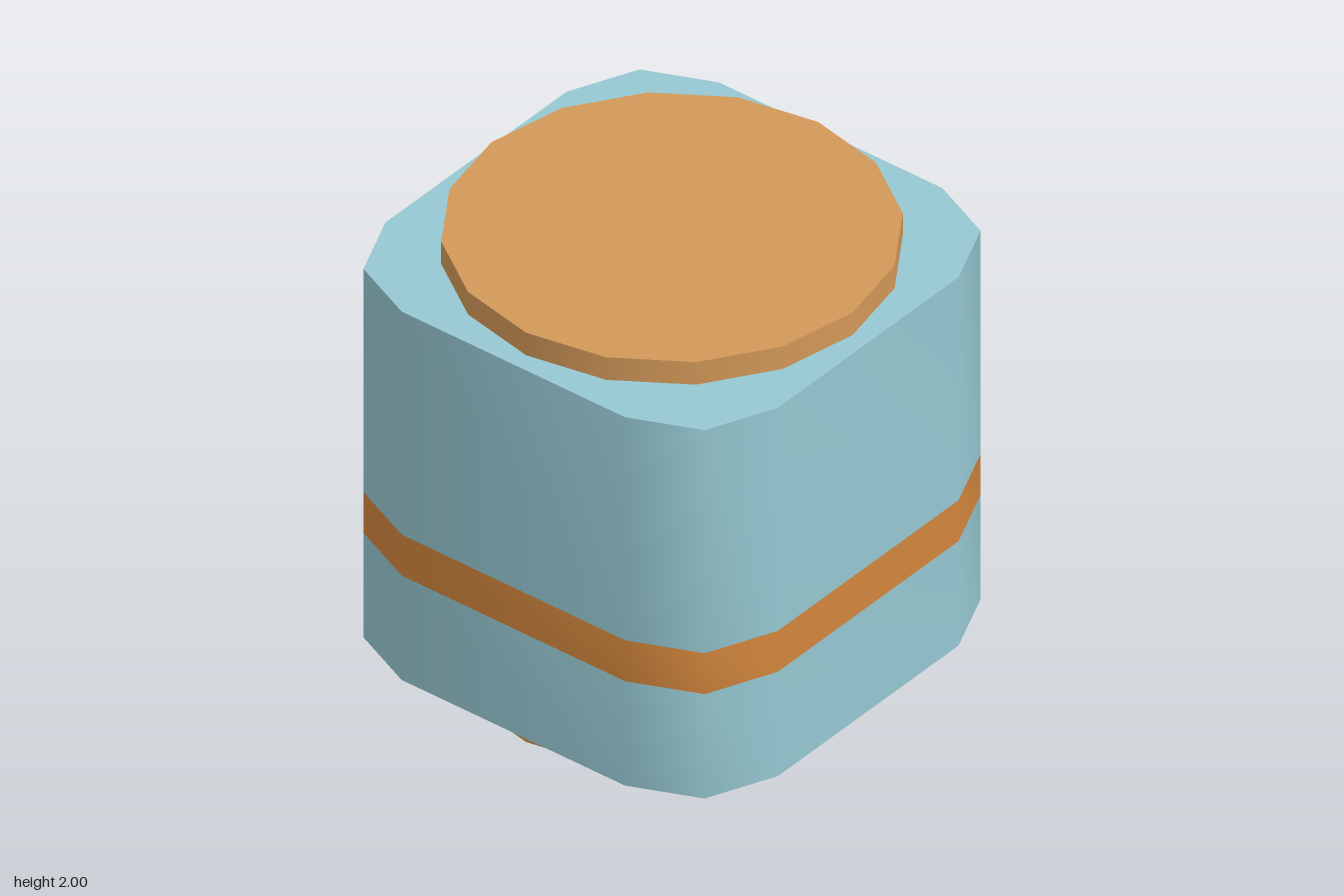
import * as THREE from 'three';
import { toCreasedNormals } from 'three/addons/utils/BufferGeometryUtils.js';

// Rounded-square outline: one corner turned four times
const outline = [];
for (let k = 0; k < 4; k++) {
  for (let [x, z] of [[0.57, 1], [0.87, 0.87], [1, 0.57]]) {
    for (let n = 0; n < k; n++) [x, z] = [z, -x];
    outline.push([x, z]);
  }
}

// Lathe the [scale, height] profile, then move each column onto the outline
function shellSection(profile) {
  const points = profile.map(([r, y]) => new THREE.Vector2(r, y));
  const geometry = new THREE.LatheGeometry(points, outline.length);
  const position = geometry.attributes.position;
  for (let i = 0; i < position.count; i++) {
    const [r, y] = profile[i % profile.length];
    const [x, z] = outline[Math.floor(i / profile.length) % outline.length];
    position.setXYZ(i, x * r, y, z * r);
  }
  return toCreasedNormals(geometry, 1);
}

export function createModel() {
  const group = new THREE.Group();
  const material = (name, color) => {
    const m = new THREE.MeshStandardMaterial({ color });
    m.name = name;
    return m;
  };
  const teal = material('pale teal', 0x96c8d2);
  const orange = material('orange', 0xd2863c);
  const tan = material('tan', 0xd29858);

  const add = (name, geometry, mat, y = 0) => {
    const mesh = new THREE.Mesh(geometry, mat);
    mesh.name = name;
    mesh.position.y = y;
    group.add(mesh);
  };

  // Body with a flush painted band
  add('lowerBody', shellSection([[0, 0.09], [1, 0.09], [1, 0.6]]), teal);
  add('band', shellSection([[1, 0.6], [1, 0.8]]), orange);
  add('upperBody', shellSection([[1, 0.8], [1, 1.89], [0, 1.89]]), teal);

  // End discs, sunk slightly into the body
  const disc = new THREE.CylinderGeometry(0.92, 0.92, 0.12, 16);
  add('bottomDisc', disc, tan, 0.06);
  add('topDisc', disc, tan, 1.94);

  return group;
}
